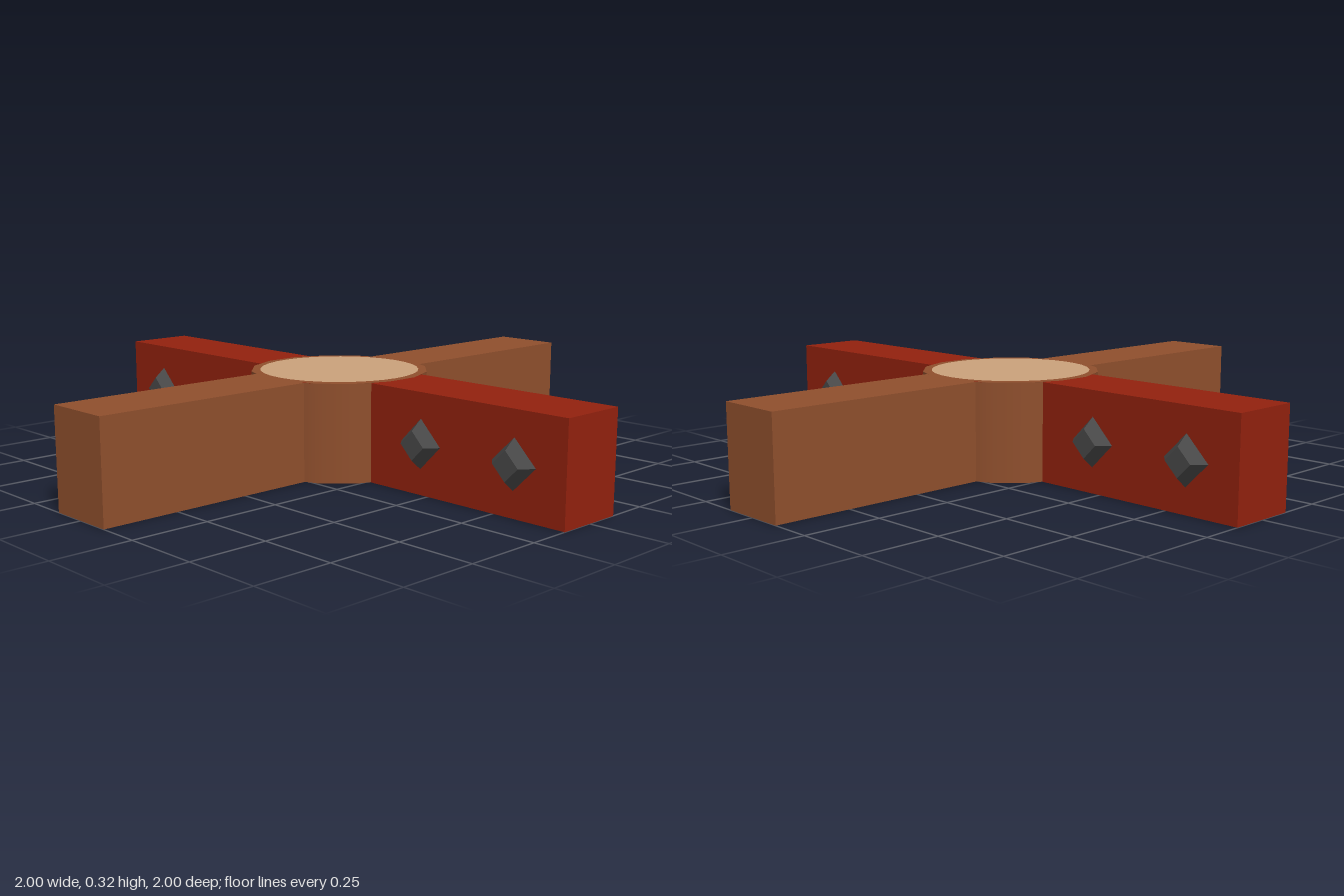
import * as THREE from 'three';

const H = 0.315, W = 0.23, HUB_R = 0.29, INNER = 0.262;

export function createModel() {
  const mat = (name, color, extra = {}) =>
    Object.assign(new THREE.MeshStandardMaterial({ color, ...extra }), { name });
  const wood = mat('brown wood', 0x8f4f2d);
  const hubWood = mat('brown wood', 0x8f4f2d, { side: THREE.DoubleSide });
  const cutWood = mat('pale cut wood', 0xcaa17b, { side: THREE.DoubleSide });
  const red = mat('red paint', 0x92210e);
  const metal = mat('dark metal', 0x484848, { flatShading: true });

  const model = new THREE.Group();
  model.name = 'crossBeam';
  const add = (name, geometry, material, x, y, z, parent = model) => {
    const mesh = new THREE.Mesh(geometry, material);
    mesh.name = name;
    mesh.position.set(x, y, z);
    parent.add(mesh);
    return mesh;
  };

  // hub: sixteen-sided tube, open underneath, with a flat side towards each arm
  const wall = new THREE.CylinderGeometry(HUB_R, HUB_R, H, 16, 1, true);
  wall.rotateY(Math.PI / 16);
  add('hubWall', wall, hubWood, 0, H / 2, 0);
  const rim = new THREE.RingGeometry(0.25, HUB_R, 16, 1, Math.PI / 16);
  rim.rotateX(-Math.PI / 2);
  add('hubRim', rim, hubWood, 0, H + 0.001, 0);
  const cap = new THREE.CircleGeometry(0.26, 32);
  cap.rotateX(-Math.PI / 2);
  add('hubCap', cap, cutWood, 0, H + 0.002, 0);

  // stud: four-sided frustum pointing along +z
  const stud = new THREE.CylinderGeometry(0.045, 0.078, 0.04, 4);
  stud.rotateX(Math.PI / 2);

  const length = 1 - INNER, middle = (1 + INNER) / 2;
  for (const s of [-1, 1]) {
    // plain arms along z
    add(s > 0 ? 'frontArm' : 'backArm', new THREE.BoxGeometry(W, H, length), wood, 0, H / 2, s * middle);

    // painted arms along x, studded on both sides
    const arm = new THREE.Group();
    arm.name = s > 0 ? 'leftArm' : 'rightArm';
    model.add(arm);
    add('paintedBeam', new THREE.BoxGeometry(length, H, W), red, s * middle, H / 2, 0, arm);
    for (const x of [0.47, 0.82]) {
      for (const side of [-1, 1]) {
        const m = add('stud', stud, metal, s * x, H / 2, side * (W / 2 + 0.019), arm);
        if (side < 0) m.rotation.y = Math.PI;
      }
    }
  }
  return model;
}
